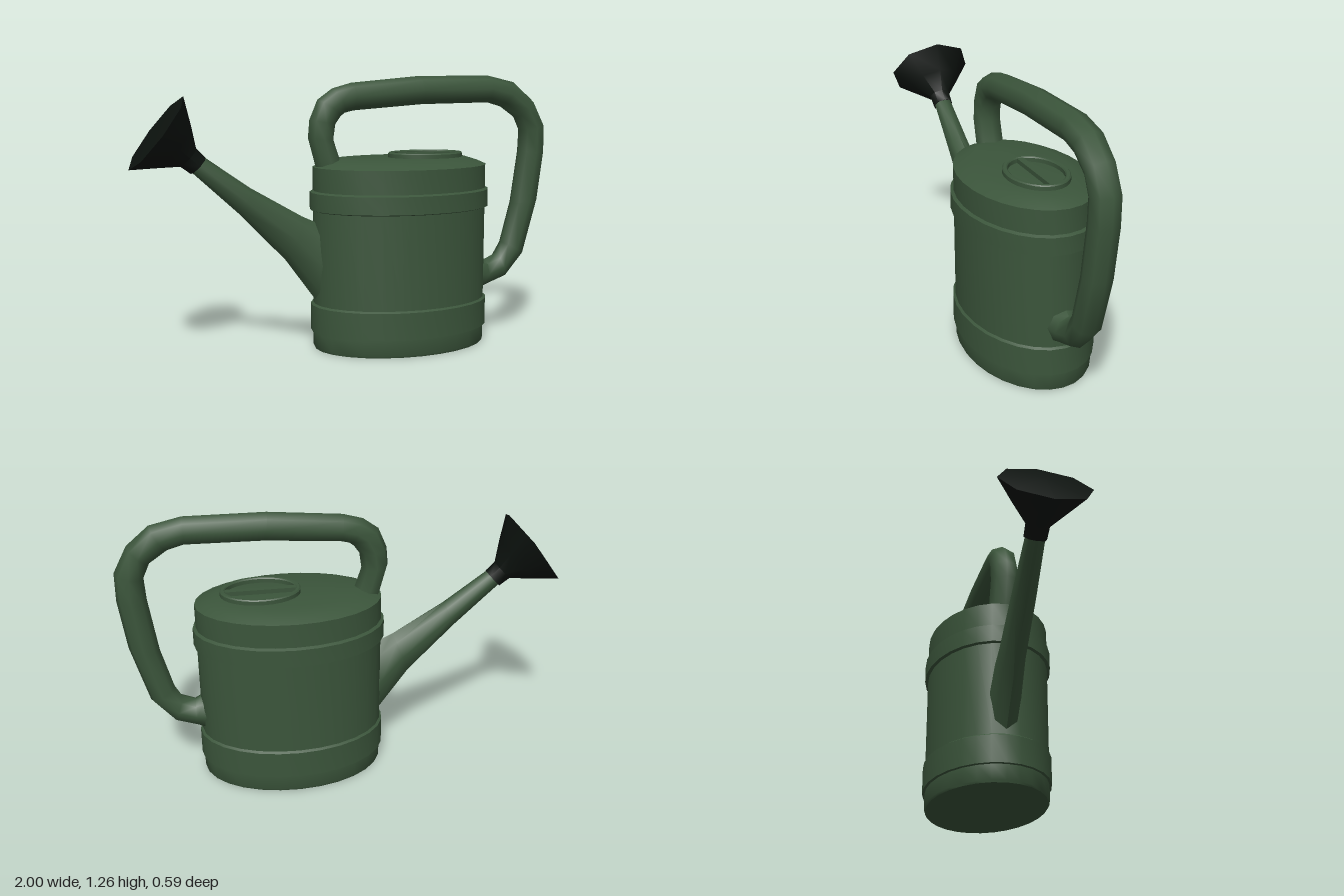
import * as THREE from 'three';
import { toCreasedNormals } from 'three/addons/utils/BufferGeometryUtils.js';

const green = new THREE.MeshStandardMaterial({ color: 0x3b553b });
const black = new THREE.MeshStandardMaterial({ color: 0x0c120e });

// Oval turned solid: profile entries are [offset outward from the oval, y]
function oval(rx, rz, profile, segments, crease) {
  const geo = new THREE.LatheGeometry(profile.map(([d, y]) => new THREE.Vector2(2 + d, y)), segments);
  const p = geo.attributes.position;
  for (let i = 0; i < p.count; i++) {
    const x = p.getX(i), z = p.getZ(i), r = Math.hypot(x, z);
    p.setXYZ(i, (x / r) * (rx + r - 2), p.getY(i), (z / r) * (rz + r - 2));
  }
  return toCreasedNormals(geo, crease);
}

// Eight-sided loft in the xy plane: sections are [x1, y1, x2, y2, half width in z],
// where the two points are opposite edges of the section
function loft(sections, crease) {
  const n = 8, pos = [], index = [];
  sections.forEach(([x1, y1, x2, y2, w], i) => {
    for (let j = 0; j < n; j++) {
      const a = (j / n) * Math.PI * 2, c = Math.cos(a) / 2;
      pos.push((x1 + x2) / 2 + (x1 - x2) * c, (y1 + y2) / 2 + (y1 - y2) * c, w * Math.sin(a));
      if (i === 0) continue;
      const k = (j + 1) % n, lo = (i - 1) * n, hi = i * n;
      index.push(lo + j, lo + k, hi + j, lo + k, hi + k, hi + j);
    }
  });
  const geo = new THREE.BufferGeometry();
  geo.setAttribute('position', new THREE.Float32BufferAttribute(pos, 3));
  geo.setIndex(index);
  return toCreasedNormals(geo, crease);
}

export function createModel() {
  const model = new THREE.Group();
  const add = (name, geo, mat = green, x = 0, y = 0) => {
    const mesh = new THREE.Mesh(geo, mat);
    mesh.name = name;
    mesh.position.set(x, y, 0);
    model.add(mesh);
  };

  // Oval tank with two raised bands and a sloped shoulder
  add('body', oval(0.42, 0.28, [
    [-0.28, 0], [-0.005, 0], [0, 0.01],
    [0, 0.08], [0.011, 0.083], [0.011, 0.208], [0, 0.215],
    [0, 0.645], [0.014, 0.65], [0.014, 0.73], [0, 0.737],
    [0, 0.845], [-0.04, 0.863], [-0.095, 0.88], [-0.28, 0.88],
  ], 28, 0.75), green, 0.245);

  // Filler cap: raised rim with a grip bar across it
  add('capRim', oval(0.18, 0.135, [
    [0, 0.87], [0, 0.898], [-0.005, 0.903], [-0.018, 0.903], [-0.023, 0.898], [-0.023, 0.87],
  ], 28, 0.6), green, 0.37);
  add('capGrip', new THREE.BoxGeometry(0.32, 0.024, 0.03), green, 0.37, 0.888);

  // Handle: from the top of the tank, over and down to the lower back
  add('handle', loft([
    [-0.165, 0.78, -0.03, 0.8, 0.07],
    [-0.17, 0.85, -0.055, 0.88, 0.066],
    [-0.205, 0.98, -0.085, 0.97, 0.065],
    [-0.198, 1.06, -0.075, 1.04, 0.065],
    [-0.16, 1.15, -0.05, 1.075, 0.065],
    [-0.09, 1.2, -0.03, 1.09, 0.065],
    [0, 1.225, 0.01, 1.1, 0.065],
    [0.33, 1.255, 0.35, 1.125, 0.065],
    [0.69, 1.257, 0.69, 1.13, 0.065],
    [0.83, 1.225, 0.76, 1.11, 0.065],
    [0.93, 1.14, 0.84, 1.055, 0.065],
    [0.993, 1.02, 0.87, 0.99, 0.065],
    [0.995, 0.89, 0.865, 0.89, 0.065],
    [0.965, 0.66, 0.83, 0.64, 0.065],
    [0.89, 0.39, 0.78, 0.45, 0.065],
    [0.79, 0.275, 0.75, 0.395, 0.063],
    [0.69, 0.24, 0.69, 0.37, 0.063],
    [0.655, 0.225, 0.655, 0.39, 0.075],
    [0.6, 0.22, 0.6, 0.4, 0.08],
  ], 1));

  // Tapered spout
  add('spout', loft([
    [-0.1, 0.12, -0.1, 0.56, 0.08],
    [-0.17, 0.23, -0.17, 0.595, 0.07],
    [-0.315, 0.43, -0.235, 0.625, 0.062],
    [-0.525, 0.65, -0.475, 0.765, 0.054],
    [-0.735, 0.845, -0.68, 0.91, 0.043],
  ], 1));

  // Sprinkler head: collar, flare and slightly domed face
  add('sprinklerHead', loft([
    [-0.705, 0.875, -0.705, 0.875, 0],
    [-0.735, 0.835, -0.67, 0.905, 0.05],
    [-0.78, 0.868, -0.71, 0.945, 0.052],
    [-0.88, 0.865, -0.73, 1.045, 0.12],
    [-1, 0.86, -0.76, 1.17, 0.2],
    [-0.894, 1.026, -0.894, 1.026, 0],
  ], 0.85), black);

  return model;
}
